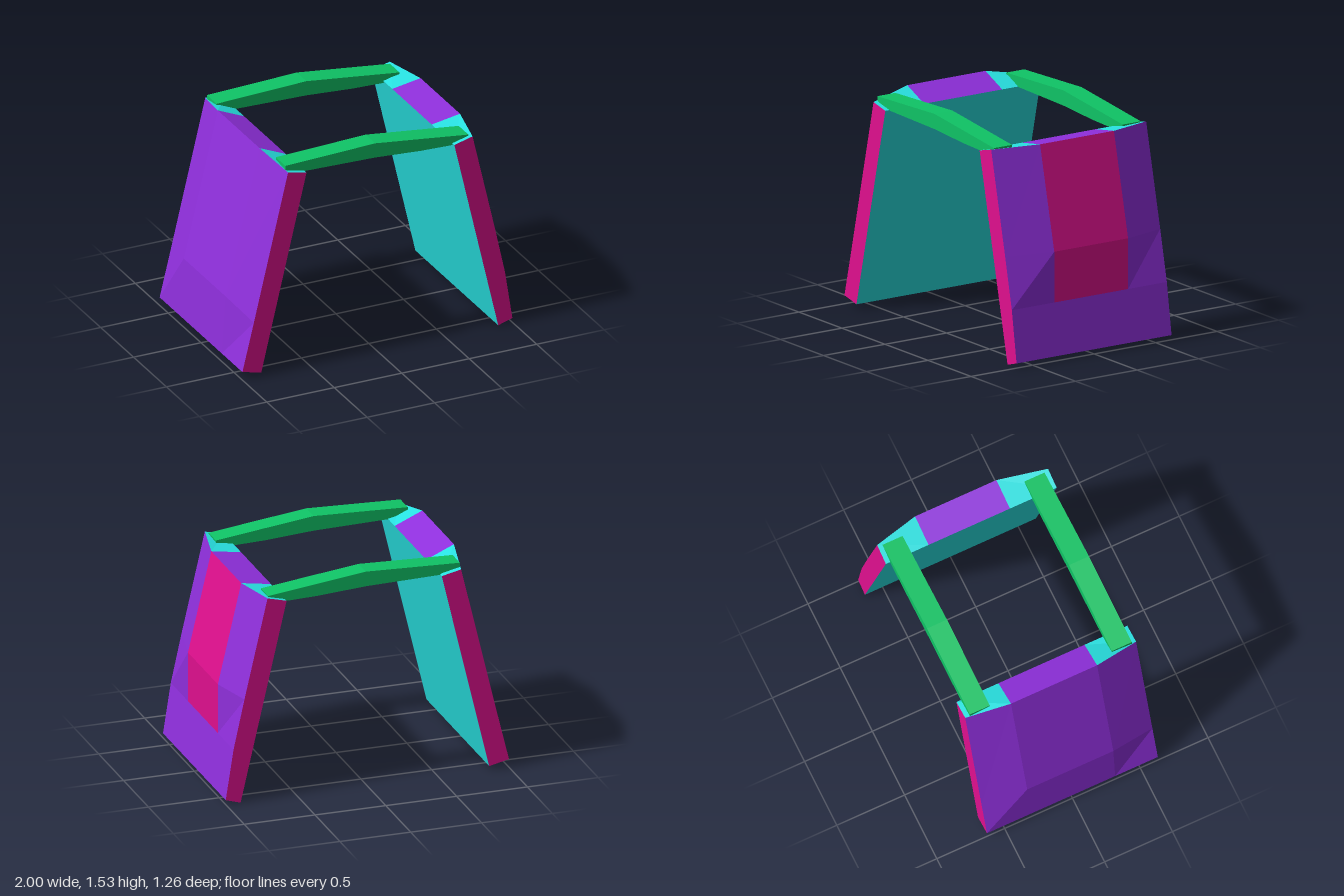
import * as THREE from 'three';

const paint = (color) => new THREE.MeshStandardMaterial({ color, flatShading: true });
const purple = paint(0x8f2fdc), magenta = paint(0xe0108f), cyan = paint(0x28e2e2), green = paint(0x0fc466);

// Mesh from convex polygons, each fanned into triangles; side -1 mirrors in x
function facets(name, polygons, side, material) {
  const pos = [];
  for (const poly of polygons) {
    const p = side < 0 ? [...poly].reverse() : poly;
    for (let i = 1; i < p.length - 1; i++) {
      for (const v of [p[0], p[i], p[i + 1]]) pos.push(side * v[0], v[1], v[2]);
    }
  }
  const geometry = new THREE.BufferGeometry();
  geometry.setAttribute('position', new THREE.Float32BufferAttribute(pos, 3));
  geometry.computeVertexNormals();
  const mesh = new THREE.Mesh(geometry, material);
  mesh.name = name;
  return mesh;
}

// Leaning slab whose outer face bulges between the two middle z stations.
// edge and bulge are outer [x, y] profiles from top to bottom.
function sidePanel(name, side, { zs, top, bottom, edge, bulge, inset }) {
  const n = edge.length - 1;
  const P = (i, j) => [...(j === 0 || j === 3 ? edge : bulge)[i], zs[j]];
  const T = (j) => [...top, zs[j]];
  const B = (j) => [...bottom, zs[j]];
  const outer = [], window = [], capMiddle = [], capEnds = [], base = [];
  for (let j = 0; j < 3; j++) {
    for (let i = 0; i < n; i++) {
      const quad = [P(i + 1, j + 1), P(i + 1, j), P(i, j), P(i, j + 1)];
      (inset && j === 1 && i < n - 1 ? window : outer).push(quad);
    }
    (j === 1 ? capMiddle : capEnds).push([T(j + 1), P(0, j + 1), P(0, j), T(j)]);
    base.push([B(j + 1), B(j), P(n, j), P(n, j + 1)]);
  }
  const end = (j) => [B(j), ...edge.map((_, i) => P(n - i, j)), T(j)];

  const group = new THREE.Group();
  group.name = name;
  group.add(
    facets('outerFace', outer, side, purple),
    facets('topMiddle', capMiddle, side, purple),
    facets('topEnds', capEnds, side, cyan),
    facets('innerFace', [[B(0), B(3), T(3), T(0)]], side, cyan),
    facets('endFaces', [end(3), end(0).reverse()], side, magenta),
    facets('base', base, side, magenta),
  );
  if (inset) group.add(facets('outerInset', window, side, magenta));
  return group;
}

// Bowed beam joining the tops of the panels
function beam(name, z) {
  const shape = new THREE.Shape([
    [-0.665, 1.47], [-0.53, 1.437], [0, 1.425], [0.34, 1.402], [0.57, 1.395], [0.685, 1.41],
    [0.69, 1.447], [0.36, 1.487], [0, 1.53], [-0.665, 1.505],
  ].map(([x, y]) => new THREE.Vector2(x, y)));
  const mesh = new THREE.Mesh(
    new THREE.ExtrudeGeometry(shape, { depth: 0.147, bevelEnabled: false }), green);
  mesh.position.z = z;
  mesh.name = name;
  return mesh;
}

export function createModel() {
  const model = new THREE.Group();
  model.name = 'archFrame';
  model.add(
    sidePanel('leftPanel', 1, {
      zs: [-0.63, -0.315, 0.285, 0.63],
      top: [0.57, 1.41],
      bottom: [0.895, 0.003],
      edge: [[0.705, 1.445], [0.868, 0.74], [0.945, 0.39], [1, 0.035]],
      bulge: [[0.78, 1.445], [0.945, 0.74], [0.945, 0.39], [1, 0.035]],
      inset: true,
    }),
    sidePanel('rightPanel', -1, {
      zs: [-0.63, -0.32, 0.315, 0.63],
      top: [0.525, 1.44],
      bottom: [0.86, 0.03],
      edge: [[0.662, 1.47], [0.915, 0.41], [1, 0.062]],
      bulge: [[0.72, 1.525], [0.972, 0.48], [1, 0.062]],
      inset: false,
    }),
    beam('frontBeam', 0.45),
    beam('backBeam', -0.597),
  );
  return model;
}
